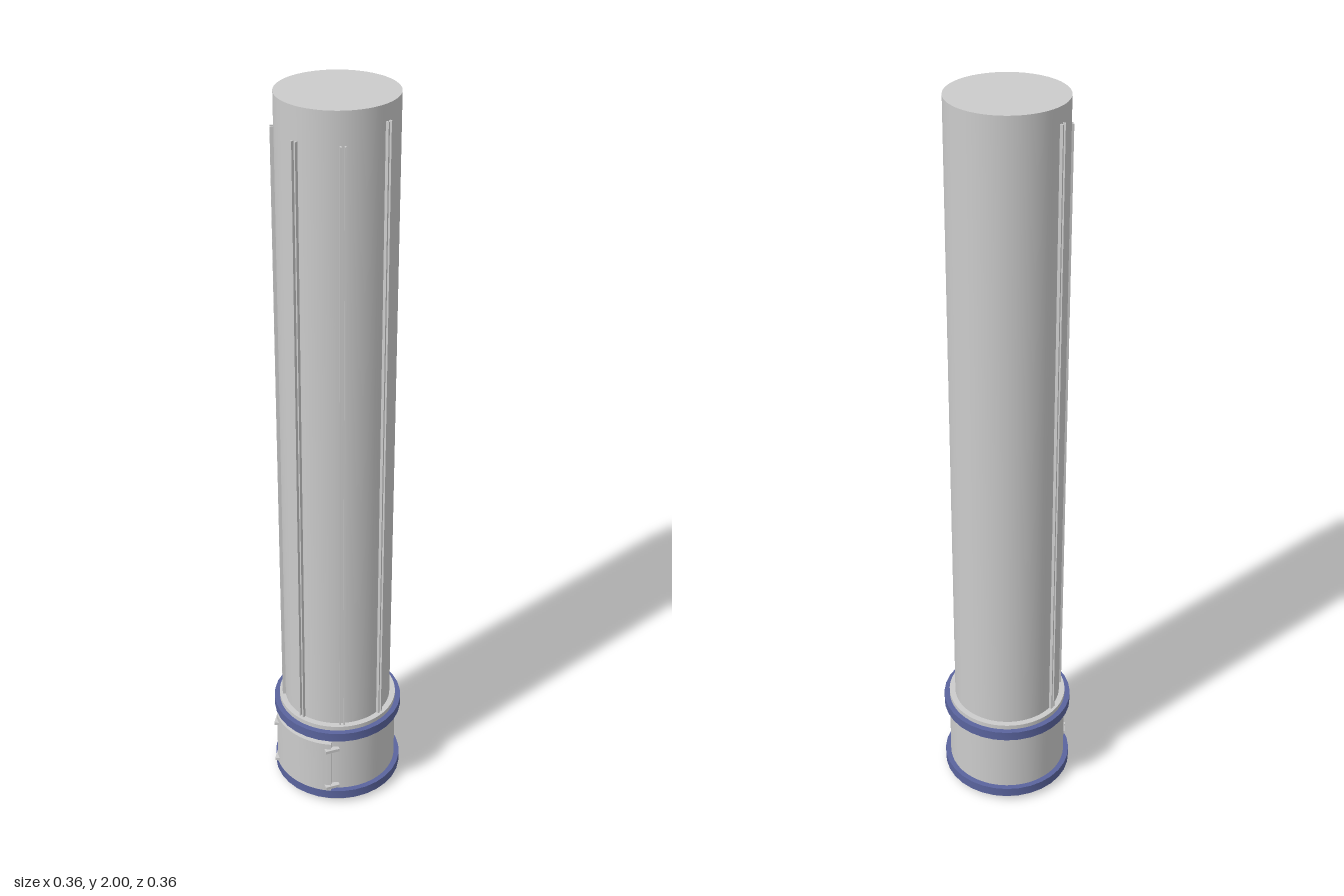
import * as THREE from 'three';
import { toCreasedNormals } from 'three/addons/utils/BufferGeometryUtils.js';

const COLUMN_R = 0.147, BASE_R = 0.163, BASE_H = 0.265;
const grey = new THREE.MeshStandardMaterial({ color: 0xcccccc });
const blue = new THREE.MeshStandardMaterial({ color: 0x5a649e });

function add(parent, name, geometry, material = grey) {
  const mesh = new THREE.Mesh(geometry, material);
  mesh.name = name;
  parent.add(mesh);
  return mesh;
}

// Upright cylinder spanning y0..y1
function cylinder(r, y0, y1) {
  return new THREE.CylinderGeometry(r, r, y1 - y0, 64).translate(0, (y0 + y1) / 2, 0);
}

// Square-section band around the base
function band(y0, y1) {
  const inner = BASE_R - 0.004, outer = 0.178;
  const profile = [[inner, y0], [outer, y0], [outer, y1], [inner, y1]]
    .map(([r, y]) => new THREE.Vector2(r, y));
  return toCreasedNormals(new THREE.LatheGeometry(profile, 32), 0.5);
}

// Curved panel centred on -x
function curvedPanel(inner, outer, halfAngle, y0, y1) {
  const shape = new THREE.Shape();
  shape.absarc(0, 0, outer, Math.PI - halfAngle, Math.PI + halfAngle, false);
  shape.absarc(0, 0, inner, Math.PI + halfAngle, Math.PI - halfAngle, true);
  shape.closePath();
  const geometry = new THREE.ExtrudeGeometry(shape, { depth: y1 - y0, bevelEnabled: false, curveSegments: 16 });
  geometry.rotateX(-Math.PI / 2).translate(0, y0, 0);
  return toCreasedNormals(geometry, 0.5);
}

export function createModel() {
  const model = new THREE.Group();
  model.name = 'column';

  add(model, 'shaft', cylinder(COLUMN_R, BASE_H - 0.02, 2));
  add(model, 'base', cylinder(BASE_R, 0, BASE_H));
  add(model, 'lowerBand', band(0.015, 0.042), blue);
  add(model, 'upperBand', band(0.225, 0.252), blue);

  // Paired rails running up the -x half of the shaft
  for (let i = 0; i < 5; i++) {
    const rail = new THREE.Group();
    rail.name = 'rail' + (i + 1);
    const top = i === 0 || i === 4 ? 1.96 : 1.92;
    const height = top - BASE_H + 0.005;
    for (const side of [-1, 1]) {
      const fin = add(rail, 'railFin', new THREE.BoxGeometry(0.004, height, 0.012));
      fin.position.set(side * 0.0055, top - height / 2, COLUMN_R + 0.002);
    }
    rail.rotation.y = -i * Math.PI / 4;
    model.add(rail);
  }

  // Access door with two hinge bars on each vertical edge
  const door = new THREE.Group();
  door.name = 'accessDoor';
  add(door, 'doorPanel', curvedPanel(BASE_R - 0.003, 0.177, 0.6, 0.015, 0.212));
  for (const side of [-1, 1]) {
    for (const y of [0.058, 0.19]) {
      const bar = add(door, 'hingeBar', new THREE.BoxGeometry(0.04, 0.009, 0.014));
      bar.position.set(-0.1415, y, side * 0.1);
      bar.rotation.y = -side * Math.PI / 6;
    }
  }
  model.add(door);

  return model;
}
